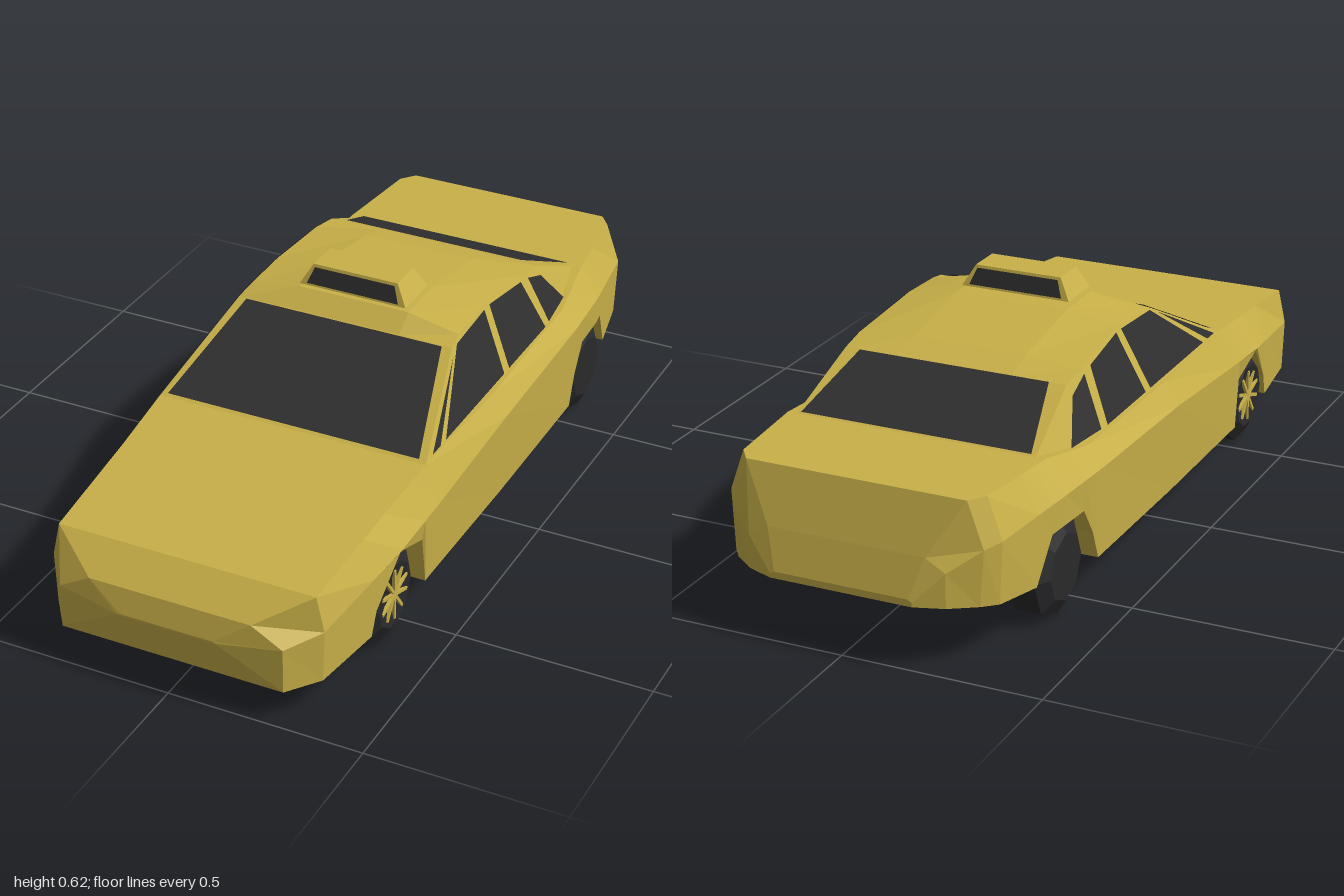
import * as THREE from 'three';

const paint = new THREE.MeshStandardMaterial({ color: 0xc8b048 });
paint.name = 'yellowPaint';
const glass = new THREE.MeshStandardMaterial({ color: 0x2f2f2f });
glass.name = 'darkGlass';
const rubber = new THREE.MeshStandardMaterial({ color: 0x29292b });
rubber.name = 'blackRubber';
for (const m of [paint, glass, rubber]) m.flatShading = true;
glass.side = THREE.DoubleSide;

function mesh(name, geometry, material) {
  const m = new THREE.Mesh(geometry, material);
  m.name = name;
  return m;
}

function fromPoints(points) {
  const g = new THREE.BufferGeometry().setFromPoints(points);
  g.computeVertexNormals();
  return g;
}

// Closed loft through mirrored half sections, listed front to back: { z, half: [[x, y], ...] }
function loft(sections) {
  const rings = sections.map(({ z, half }) => [
    ...half.map(([x, y]) => new THREE.Vector3(x, y, z)),
    ...half.slice().reverse().map(([x, y]) => new THREE.Vector3(-x, y, z)),
  ]);
  const out = [];
  const area = new THREE.Triangle();
  const tri = (a, b, c) => {
    if (area.set(a, b, c).getArea() > 1e-7) out.push(a, b, c);
  };
  const n = rings[0].length;
  for (let i = 0; i < rings.length - 1; i++) {
    for (let j = 0; j < n; j++) {
      const k = (j + 1) % n;
      const a = rings[i][j], b = rings[i][k], c = rings[i + 1][k], d = rings[i + 1][j];
      tri(a, d, b);
      tri(d, c, b);
    }
  }
  const first = rings[0], last = rings[rings.length - 1];
  for (let j = 1; j < n - 1; j++) {
    tri(first[0], first[j], first[j + 1]);
    tri(last[0], last[j + 1], last[j]);
  }
  return fromPoints(out);
}

// Flat convex plate from its corners
function plate(corners) {
  const p = corners.map((c) => new THREE.Vector3(...c));
  const out = [];
  for (let i = 1; i < p.length - 1; i++) out.push(p[0], p[i], p[i + 1]);
  return fromPoints(out);
}

// Lower body: key sections, with wheel arch sections interpolated between them
function buildBody() {
  // z, floor y, sill x, belt x, belt y, shoulder x, shoulder y
  const keys = [
    [1, 0.18, 0.13, 0.13, 0.182, 0.12, 0.185],
    [0.98, 0.085, 0.29, 0.29, 0.2, 0.21, 0.245],
    [0.9, 0.085, 0.35, 0.355, 0.22, 0.335, 0.31],
    [0.58, 0.085, 0.39, 0.395, 0.26, 0.348, 0.346],
    [0.38, 0.085, 0.39, 0.4, 0.277, 0.36, 0.37],
    [0, 0.085, 0.392, 0.405, 0.31, 0.37, 0.37],
    [-0.45, 0.088, 0.39, 0.4, 0.32, 0.36, 0.37],
    [-0.63, 0.12, 0.386, 0.388, 0.32, 0.336, 0.4],
    [-0.88, 0.145, 0.34, 0.347, 0.3, 0.31, 0.404],
    [-0.92, 0.15, 0.31, 0.32, 0.29, 0.28, 0.403],
    [-0.97, 0.155, 0.25, 0.25, 0.24, 0.2, 0.27],
    [-1, 0.158, 0.18, 0.18, 0.168, 0.17, 0.175],
  ];
  // Wheel arch outline: z to sill height, zero where the sill meets the floor
  const arches = new Map([
    [0.7, 0], [0.68, 0.145], [0.58, 0.252], [0.46, 0.215], [0.44, 0],
    [-0.48, 0.165], [-0.53, 0.24], [-0.63, 0.245], [-0.68, 0.24], [-0.74, 0],
  ]);
  const sectionAt = (z) => {
    const i = Math.max(1, keys.findIndex((k) => k[0] <= z));
    const a = keys[i - 1], b = keys[i];
    const t = (z - a[0]) / (b[0] - a[0]);
    return a.map((v, j) => THREE.MathUtils.lerp(v, b[j], t));
  };
  const stations = [...new Set([...keys.map((k) => k[0]), ...arches.keys()])].sort((a, b) => b - a);
  return loft(stations.map((z) => {
    const [, floorY, sillX, beltX, beltY, topX, topY] = sectionAt(z);
    const sillY = arches.get(z) || floorY;
    const floorX = Math.min(0.285, sillX);
    return { z, half: [[floorX, floorY], [floorX, sillY], [sillX, sillY], [beltX, beltY], [topX, topY]] };
  }));
}

// Inward leaning cabin side, tapering behind the rear door
const sideX = (z, y) => 0.36 - (y - 0.37) * 0.4545 - Math.max(0, -0.34 - z) * 0.12;

// Cabin: z, roof edge y, roof crown y
function buildCabin() {
  const rows = [
    [0.38, 0.37, 0.37], [0.09, 0.52, 0.52], [0.04, 0.53, 0.558], [-0.1, 0.537, 0.558],
    [-0.34, 0.51, 0.522], [-0.42, 0.498, 0.5], [-0.63, 0.4, 0.4],
  ];
  return loft(rows.map(([z, y, crown]) => ({
    z, half: [[sideX(z, 0.36), 0.36], [sideX(z, y), y], [0.15, crown]],
  })));
}

function buildWindows() {
  const group = new THREE.Group();
  group.name = 'windows';
  const lift = 0.004;
  // Four-cornered pane across the car: half width, y, z of its lower and upper edges
  const crossPane = (name, [x0, y0, z0], [x1, y1, z1]) => group.add(mesh(name, plate([
    [-x0, y0, z0], [x0, y0, z0], [x1, y1, z1], [-x1, y1, z1],
  ]), glass));
  crossPane('windshield', [0.34, 0.378, 0.376], [0.268, 0.522, 0.098]);
  crossPane('rearWindow', [0.3, 0.406, -0.63], [0.25, 0.501, -0.426]);
  // Side panes as [z, y] outlines
  const panes = {
    frontQuarterWindow: [[0.345, 0.376], [0.3, 0.376], [0.105, 0.505]],
    frontDoorWindow: [[0.27, 0.376], [-0.075, 0.376], [-0.1, 0.528], [0.07, 0.52]],
    rearDoorWindow: [[-0.105, 0.376], [-0.335, 0.376], [-0.305, 0.507], [-0.13, 0.528]],
    rearQuarterWindow: [[-0.365, 0.376], [-0.5, 0.376], [-0.42, 0.472], [-0.345, 0.5]],
  };
  for (const s of [1, -1]) {
    for (const [name, outline] of Object.entries(panes)) {
      const corners = outline.map(([z, y]) => [s * (sideX(z, y) + lift), y + lift / 2, z]);
      group.add(mesh(name, plate(corners), glass));
    }
  }
  return group;
}

// Roof sign: tapered box with dark front and back panels
function buildSign() {
  const group = new THREE.Group();
  group.name = 'roofSign';
  const section = (z, x, y) => ({ z, half: [[0.145, 0.57], [x, y]] });
  group.add(mesh('signBox', loft([
    section(0.045, 0.145, 0.57), section(0.027, 0.115, 0.623),
    section(-0.065, 0.115, 0.623), section(-0.083, 0.145, 0.57),
  ]), paint));
  for (const [low, high] of [[0.046, 0.032], [-0.084, -0.07]]) {
    group.add(mesh('signPanel', plate([
      [-0.125, 0.576, low], [0.125, 0.576, low], [0.109, 0.617, high], [-0.109, 0.617, high],
    ]), glass));
  }
  return group;
}

// Wheel with its axle along x, outer side towards +x
function buildWheel(name, sides, spoked) {
  const wheel = new THREE.Group();
  wheel.name = name;
  const profile = [[0, -0.045], [0.125, -0.045], [0.125, 0.022], [0.085, 0.045], [0, spoked ? 0.03 : 0.045]];
  const tyre = new THREE.LatheGeometry(profile.map(([r, h]) => new THREE.Vector2(r, h)), sides);
  tyre.rotateZ(-Math.PI / 2);
  wheel.add(mesh('tyre', tyre, rubber));
  for (let i = 0; spoked && i < 10; i++) {
    const spoke = mesh('spoke', new THREE.BoxGeometry(0.008, 0.066, 0.008), paint);
    const a = (i / 10) * Math.PI * 2;
    spoke.position.set(0.042, Math.cos(a) * 0.035, Math.sin(a) * 0.035);
    spoke.rotation.x = a;
    wheel.add(spoke);
  }
  return wheel;
}

export function createModel() {
  const car = new THREE.Group();
  car.name = 'taxi';
  car.add(mesh('body', buildBody(), paint), mesh('cabin', buildCabin(), paint));
  car.add(buildWindows(), buildSign());
  for (const s of [1, -1]) {
    const front = buildWheel('frontWheel', 10, true);
    front.position.set(s * 0.33, 0.125, 0.575);
    const rear = buildWheel('rearWheel', 8, false);
    rear.position.set(s * 0.33, 0.125, -0.6);
    for (const w of [front, rear]) {
      if (s < 0) w.rotation.y = Math.PI;
      car.add(w);
    }
  }
  return car;
}
